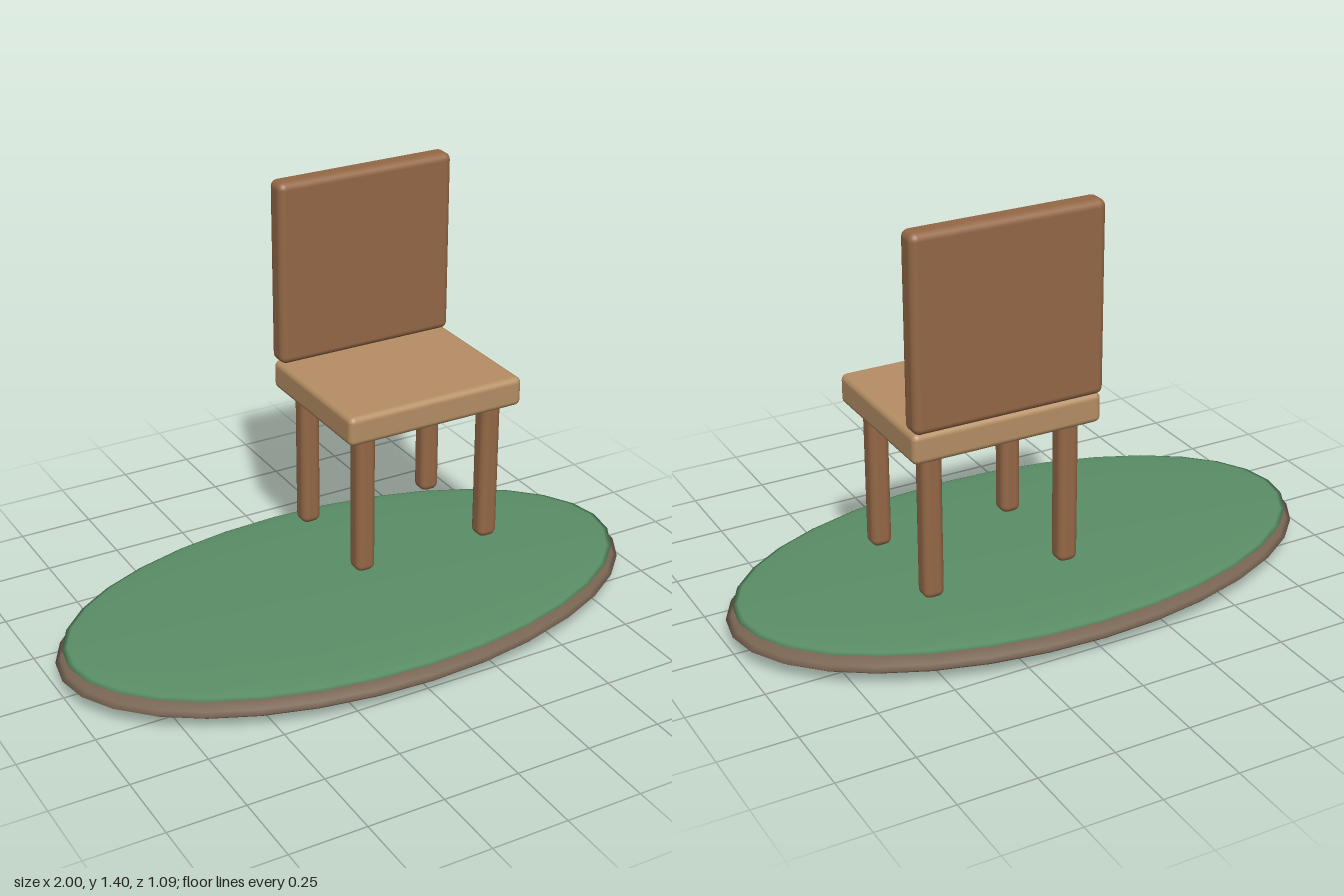
import * as THREE from 'three';
import { RoundedBoxGeometry } from 'three/addons/geometries/RoundedBoxGeometry.js';

const material = (name, color) => {
  const m = new THREE.MeshStandardMaterial({ color });
  m.name = name;
  return m;
};

export function createModel() {
  const earth = material('earth brown', 0x786452);
  const grass = material('grass green', 0x5b8f67);
  const lightWood = material('light wood', 0xb58e64);
  const darkWood = material('dark wood', 0x946846);
  const model = new THREE.Group();
  model.name = 'chairOnIsland';

  function add(parent, name, geometry, mat, x, y, z) {
    const mesh = new THREE.Mesh(geometry, mat);
    mesh.name = name;
    mesh.position.set(x, y, z);
    parent.add(mesh);
    return mesh;
  }

  // Flattened oval ground with a thinner grass layer on top
  const disc = (rx, ry, rz) => new THREE.SphereGeometry(1, 32, 16).scale(rx, ry, rz);
  add(model, 'groundBase', disc(1, 0.06, 0.545), earth, 0, 0.061, 0);
  add(model, 'grassTop', disc(0.977, 0.021, 0.527), grass, 0, 0.105, 0);

  // Chair, floating above the ground
  const chair = new THREE.Group();
  chair.name = 'chair';
  chair.position.x = 0.238;
  model.add(chair);
  add(chair, 'seat', new RoundedBoxGeometry(0.626, 0.098, 0.51, 4, 0.02), lightWood, 0, 0.738, -0.11);
  add(chair, 'backrest', new RoundedBoxGeometry(0.626, 0.612, 0.078, 4, 0.024), darkWood, 0, 1.093, -0.339);

  // Four legs
  const legGeometry = new RoundedBoxGeometry(0.068, 0.5, 0.068, 4, 0.024);
  for (const [side, sx] of [['Left', 1], ['Right', -1]]) {
    for (const [end, z] of [['front', 0.075], ['back', -0.29]]) {
      add(chair, `${end}${side}Leg`, legGeometry, darkWood, sx * 0.23, 0.46, z);
    }
  }
  return model;
}
